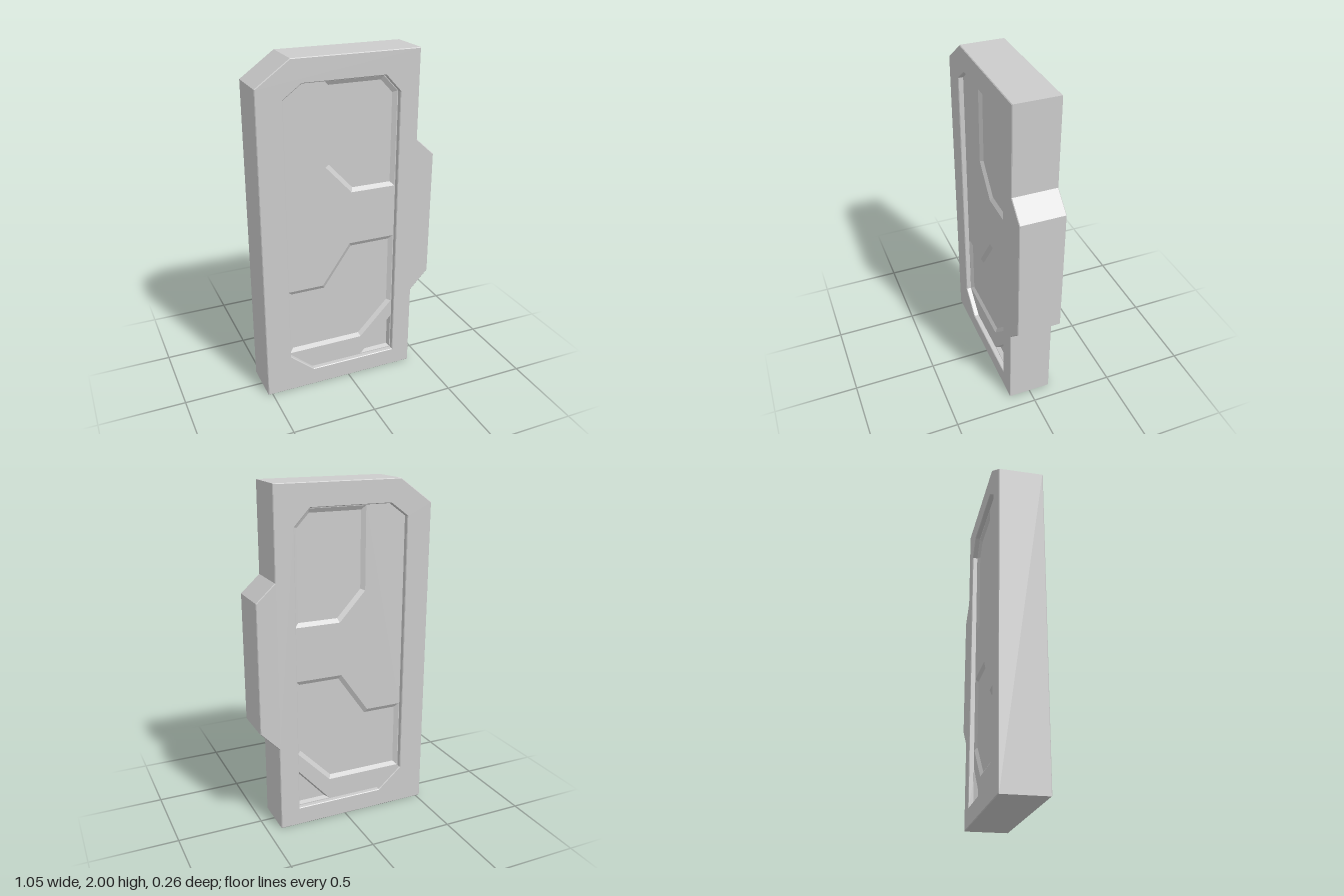
import * as THREE from 'three';

const material = new THREE.MeshStandardMaterial({ color: 0xcccccc, flatShading: true });
const HALF_DEPTH = 0.13;
const PANEL_Z = 0.1;

// Outlines run counter-clockwise seen from the front
const FRAME = [[-0.525, 0], [0.415, 0], [0.415, 0.515], [0.525, 0.63], [0.525, 1.385],
  [0.415, 1.485], [0.415, 2], [-0.33, 2], [-0.525, 1.86]];
const OPENING = [[-0.23, 0.11], [0.3, 0.11], [0.3, 1.77], [0.21, 1.867], [-0.27, 1.867],
  [-0.375, 1.79], [-0.375, 0.235]];
const POCKETS = [
  { name: 'upperPocket', inset: 0.024, depth: 0.015,
    outline: [[0.025, 1.215], [0.295, 1.215], [0.295, 1.77], [0.21, 1.86], [-0.132, 1.86], [-0.132, 1.385]] },
  { name: 'lowerPocket', inset: 0.024, depth: 0.015,
    outline: [[-0.37, 0.24], [0.092, 0.24], [0.295, 0.45], [0.295, 0.898], [0.015, 0.898], [-0.155, 0.655], [-0.37, 0.655]] },
  { name: 'cornerPocket', inset: 0.01, depth: 0.025,
    outline: [[0.095, 0.115], [0.295, 0.115], [0.295, 0.34]] },
];

const toVectors = (points) => points.map(([x, y]) => new THREE.Vector2(x, y));
const mirrored = (points) => points.map(([x, y]) => [-x, y]).reverse();

function addMesh(parent, geometry, name) {
  const mesh = new THREE.Mesh(geometry, material);
  mesh.name = name;
  parent.add(mesh);
  return mesh;
}

// Moves every side of a counter-clockwise polygon inwards by d
function insetPolygon(points, d) {
  return points.map((p, i) => {
    const a = p.clone().sub(points[(i + points.length - 1) % points.length]).normalize();
    const b = points[(i + 1) % points.length].clone().sub(p).normalize();
    const n1 = new THREE.Vector2(-a.y, a.x);
    const n2 = new THREE.Vector2(-b.y, b.x);
    return n1.clone().add(n2).multiplyScalar(d / (1 + n1.dot(n2))).add(p);
  });
}

// Sloping walls from the panel surface down to the pocket floor
function wallGeometry(outer, inner, depth) {
  const positions = [];
  outer.forEach((o, i) => {
    const j = (i + 1) % outer.length;
    const a = [o.x, o.y, 0];
    const b = [outer[j].x, outer[j].y, 0];
    const c = [inner[j].x, inner[j].y, -depth];
    const d = [inner[i].x, inner[i].y, -depth];
    positions.push(...a, ...b, ...c, ...a, ...c, ...d);
  });
  const geometry = new THREE.BufferGeometry();
  geometry.setAttribute('position', new THREE.Float32BufferAttribute(positions, 3));
  geometry.computeVertexNormals();
  return geometry;
}

// One face of the recessed panel with its sunken pockets
function panelFace(name, place) {
  const face = new THREE.Group();
  face.name = name;
  const sheet = new THREE.Shape(toVectors(place(OPENING)));
  for (const { name: pocketName, outline, inset, depth } of POCKETS) {
    const outer = toVectors(place(outline));
    const inner = insetPolygon(outer, inset);
    sheet.holes.push(new THREE.Path(outer));
    const pocket = new THREE.Group();
    pocket.name = pocketName;
    addMesh(pocket, wallGeometry(outer, inner, depth), 'pocketWalls');
    addMesh(pocket, new THREE.ShapeGeometry(new THREE.Shape(inner)), 'pocketFloor').position.z = -depth;
    face.add(pocket);
  }
  addMesh(face, new THREE.ShapeGeometry(sheet), 'panelSurface');
  face.position.z = PANEL_Z;
  return face;
}

export function createModel() {
  const door = new THREE.Group();
  door.name = 'door';

  // Thick frame with a fine edge bevel
  const bevel = 0.004;
  const frameShape = new THREE.Shape(toVectors(FRAME));
  frameShape.holes.push(new THREE.Path(toVectors(OPENING)));
  const frame = new THREE.ExtrudeGeometry(frameShape, {
    depth: 2 * (HALF_DEPTH - bevel),
    bevelThickness: bevel, bevelSize: bevel, bevelOffset: -bevel, bevelSegments: 1,
  });
  frame.translate(0, 0, bevel - HALF_DEPTH);
  addMesh(door, frame, 'frame');

  // The back panel is mirrored, then turned round, so both faces line up
  door.add(panelFace('frontPanel', (points) => points));
  const back = panelFace('backPanel', mirrored);
  back.position.z = -PANEL_Z;
  back.rotation.y = Math.PI;
  door.add(back);

  return door;
}
